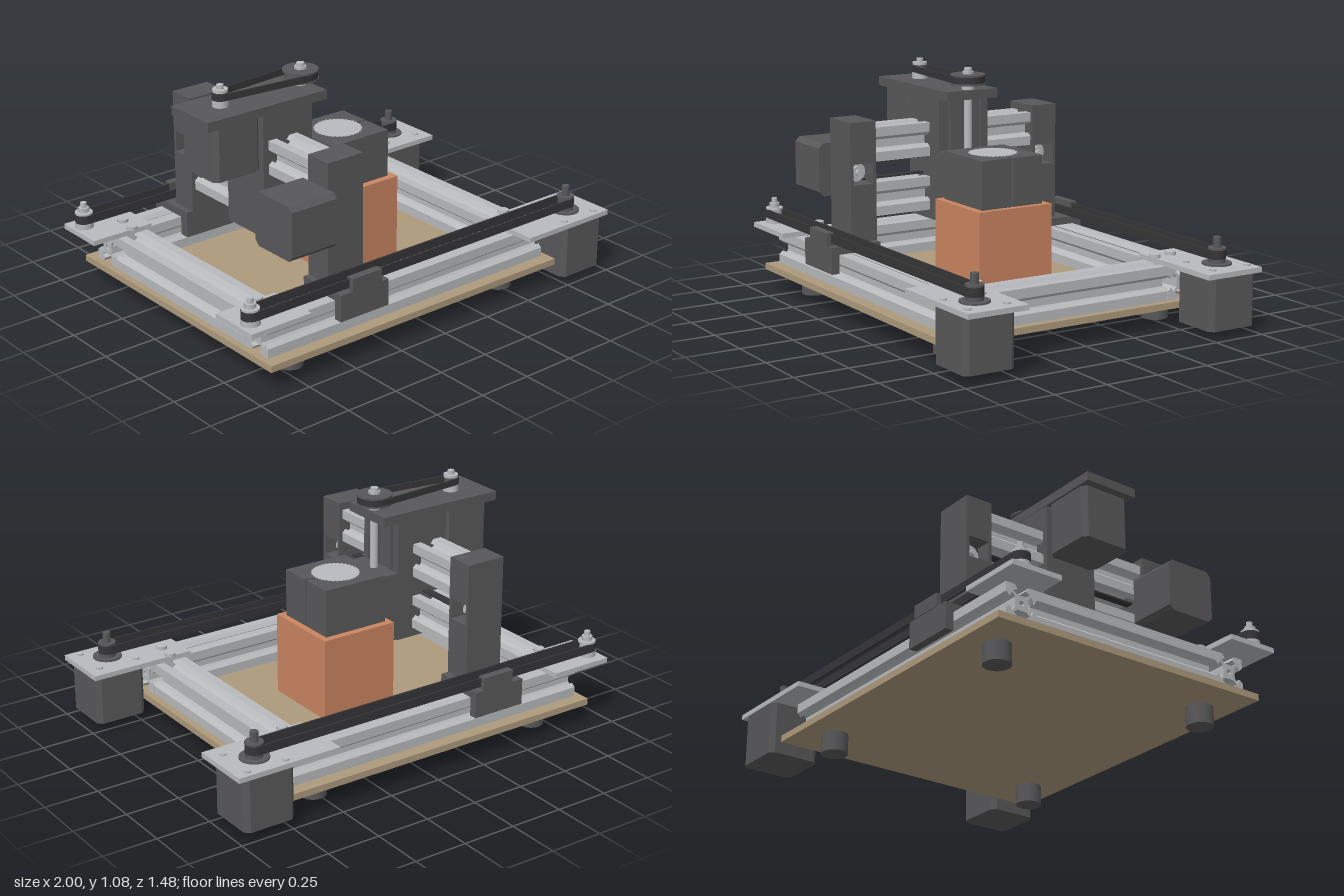
import * as THREE from 'three';

const mat = (name, color, side = THREE.FrontSide) => {
  const m = new THREE.MeshStandardMaterial({ color, side });
  m.name = name;
  return m;
};
const M = {
  alu: mat('aluminium', 0xb8babd),
  dark: mat('darkGrey', 0x58585a),
  belt: mat('beltBlack', 0x363638),
  wood: mat('wood', 0xad9a7c),
  orange: mat('orange', 0xca8460),
};

export function createModel() {
  const root = new THREE.Group();
  root.name = 'cncRouter';

  const add = (name, geo, m, x = 0, y = 0, z = 0) => {
    const mesh = new THREE.Mesh(geo, m);
    mesh.name = name;
    mesh.position.set(x, y, z);
    root.add(mesh);
    return mesh;
  };
  // Box given by its limits on each axis
  const box = (name, m, x0, x1, y0, y1, z0, z1) =>
    add(name, new THREE.BoxGeometry(x1 - x0, y1 - y0, Math.abs(z1 - z0)), m,
      (x0 + x1) / 2, (y0 + y1) / 2, (z0 + z1) / 2);
  // Upright cylinder given by its base and top height
  const post = (name, m, x, z, r, y0, y1, seg = 24) =>
    add(name, new THREE.CylinderGeometry(r, r, y1 - y0, seg), m, x, (y0 + y1) / 2, z);
  // Prism centred on the origin, running along the given axis
  const prism = (shape, length, axis) => {
    const g = new THREE.ExtrudeGeometry(shape, { depth: length, bevelEnabled: false, curveSegments: 12 });
    g.translate(0, 0, -length / 2);
    if (axis === 'x') g.rotateY(Math.PI / 2);
    if (axis === 'y') g.rotateX(-Math.PI / 2);
    return g;
  };
  const polygon = pts => new THREE.Shape(pts.map(p => new THREE.Vector2(p[0], p[1])));

  // Slotted square profile: one side turned four times
  const h = 0.0775;
  const half = [[h, h], [0.035, h], [0.02, h - 0.018], [0.04, h - 0.03], [0.022, h - 0.045]];
  const side = [...half, ...half.slice(1).reverse().map(([x, y]) => [-x, y])];
  const profile = [];
  for (let k = 0; k < 4; k++) {
    const c = Math.round(Math.cos(k * Math.PI / 2)), s = Math.round(Math.sin(k * Math.PI / 2));
    side.forEach(([x, y]) => profile.push([x * c - y * s, x * s + y * c]));
  }
  const railShape = polygon(profile);
  const bore = new THREE.Path();
  bore.absarc(0, 0, 0.012, 0, Math.PI * 2, true);
  railShape.holes.push(bore);
  const rail = (name, axis, length, x, y, z) => add(name, prism(railShape, length, axis), M.alu, x, y, z);

  // Chamfered square motor body
  const motor = (name, axis, length, x, y, z) => {
    const a = 0.122, b = 0.1;
    const s = polygon([[a, -b], [a, b], [b, a], [-b, a], [-a, b], [-a, -b], [-b, -a], [b, -a]]);
    add(name, prism(s, length, axis), M.dark, x, y, z);
  };

  // Belt loop round two pulleys at u = 0 and u = d
  const beltShape = (d, r0, r1) => {
    const trace = (path, t) => {
      const a = Math.acos((r0 - r1) / d);
      path.absarc(d, 0, r1 - t, -a, a, false);
      path.absarc(0, 0, r0 - t, a, Math.PI * 2 - a, false);
      path.closePath();
      return path;
    };
    const s = trace(new THREE.Shape(), 0);
    s.holes.push(trace(new THREE.Path(), 0.008));
    return s;
  };

  // Base board, feet and frame rails
  box('baseBoard', M.wood, -0.9, 0.72, 0.09, 0.12, -0.69, 0.69);
  for (const x of [-0.69, 0.51]) for (const z of [-0.54, 0.54]) post('foot', M.dark, x, z, 0.06, 0, 0.09, 32);
  for (const x of [-0.793, 0.61]) rail('crossRail', 'z', 0.96, x, 0.1975, 0);

  for (const s of [-1, 1]) {
    rail('longRail', 'x', 1.56, -0.09, 0.1975, s * 0.553);

    // Corner plates and their screws
    box('idlerPlate', M.alu, -1, -0.695, 0.277, 0.3, s * 0.453, s * 0.697);
    box('motorPlate', M.alu, 0.508, 1, 0.277, 0.3, s * 0.453, s * 0.74);
    for (const [x, z] of [[-0.782, 0.553], [-0.795, 0.46], [0.6, 0.553], [0.61, 0.46]])
      post('plateScrew', M.alu, x, s * z, 0.025, 0.3, 0.316);
    for (const x of [0.755, 0.94]) for (const z of [0.52, 0.705])
      post('motorScrew', M.alu, x, s * z, 0.016, 0.3, 0.308, 16);

    // Drive motor, toothed pulley, idler and long belt
    motor('driveMotor', 'y', 0.241, 0.848, 0.157, s * 0.615);
    post('motorBoss', M.dark, 0.848, s * 0.615, 0.065, 0.3, 0.308, 32);
    post('pulleyHub', M.dark, 0.848, s * 0.615, 0.038, 0.3, 0.325);
    post('drivePulley', M.dark, 0.848, s * 0.615, 0.034, 0.325, 0.365);
    post('pulleyFlange', M.dark, 0.848, s * 0.615, 0.04, 0.365, 0.374);
    post('motorShaft', M.dark, 0.848, s * 0.615, 0.018, 0.374, 0.42, 16);
    post('idlerBase', M.alu, -0.945, s * 0.615, 0.042, 0.3, 0.325);
    post('idlerPulley', M.alu, -0.945, s * 0.615, 0.032, 0.325, 0.365);
    post('idlerWasher', M.alu, -0.945, s * 0.615, 0.04, 0.365, 0.374);
    post('idlerNut', M.alu, -0.945, s * 0.615, 0.026, 0.374, 0.395, 6);
    post('idlerBolt', M.alu, -0.945, s * 0.615, 0.014, 0.395, 0.418, 16);
    add('longBelt', prism(beltShape(1.793, 0.04, 0.04), 0.04, 'y'), M.belt, -0.945, 0.345, s * 0.615);

    // Saddle riding on the long rail
    box('saddleTop', M.dark, -0.52, -0.26, 0.277, 0.312, s * 0.425, s * 0.672);
    box('saddleOuterCheek', M.dark, -0.52, -0.26, 0.19, 0.277, s * 0.634, s * 0.672);
    box('saddleInnerCheek', M.dark, -0.52, -0.26, 0.19, 0.277, s * 0.425, s * 0.472);
    box('beltClamp', M.dark, -0.46, -0.3, 0.312, 0.372, s * 0.64, s * 0.676);

    // Gantry upright with a window for the pulley
    const up = polygon([[-0.065, 0.312], [0.065, 0.312], [0.065, 0.857], [-0.065, 0.857]]);
    const win = new THREE.Path();
    win.moveTo(-0.05, 0.573).lineTo(-0.05, 0.668).lineTo(0.05, 0.668).lineTo(0.05, 0.573).closePath();
    up.holes.push(win);
    add('gantryUpright', prism(up, 0.19, 'x'), M.dark, -0.395, 0, s * 0.485);
    for (const [r, w] of [[0.044, 0.06], [0.028, 0.09], [0.014, 0.12]]) {
      const g = new THREE.CylinderGeometry(r, r, w, 24);
      g.rotateZ(Math.PI / 2);
      add('gantryPulley', g, M.alu, -0.395, 0.62, s * 0.485);
    }
  }

  // Gantry rails, belt and motor
  for (const y of [0.495, 0.745]) rail('gantryRail', 'z', 0.85, -0.395, y, 0);
  add('gantryBelt', prism(beltShape(0.97, 0.042, 0.042), 0.04, 'x'), M.belt, -0.395, 0.62, 0.485);
  motor('gantryMotor', 'x', 0.235, -0.607, 0.62, 0.487);

  // Vertical carriage with guide ribs, top plate and lift motor
  box('carriage', M.dark, -0.5, -0.25, 0.375, 0.94, -0.13, 0.13);
  for (const s of [-1, 1]) {
    box('guideRib', M.dark, -0.25, -0.235, 0.375, 0.94, s * 0.095, s * 0.13);
    box('guideRib', M.dark, -0.25, -0.235, 0.375, 0.94, s * 0.035, s * 0.07);
  }
  box('topPlate', M.dark, -0.785, -0.155, 0.938, 0.98, -0.132, 0.132);
  motor('liftMotor', 'y', 0.245, -0.625, 0.816, 0);

  // Lead screw, top pulleys and belt
  post('leadScrew', M.alu, -0.195, 0, 0.018, 0.38, 1.078);
  post('leadNut', M.alu, -0.195, 0, 0.03, 0.98, 1.005);
  post('largePulleyLower', M.dark, -0.195, 0, 0.08, 1.003, 1.01, 40);
  post('largePulley', M.dark, -0.195, 0, 0.07, 1.01, 1.042, 40);
  post('largePulleyUpper', M.dark, -0.195, 0, 0.08, 1.042, 1.05, 40);
  post('screwNut', M.alu, -0.195, 0, 0.028, 1.05, 1.063, 6);
  post('smallPulleyBase', M.alu, -0.625, 0, 0.036, 0.98, 1.01);
  post('smallPulley', M.dark, -0.625, 0, 0.03, 1.01, 1.045);
  post('smallPulleyTop', M.alu, -0.625, 0, 0.034, 1.045, 1.058);
  post('liftShaft', M.alu, -0.625, 0, 0.016, 1.058, 1.076, 16);
  add('topBelt', prism(beltShape(0.43, 0.037, 0.077), 0.03, 'y'), M.belt, -0.625, 1.026, 0);

  // Tool slide and clamp, split at the front by a narrow slit
  box('toolSlide', M.dark, -0.235, -0.145, 0.38, 0.7, -0.13, 0.13);
  add('toolClamp', prism(polygon([[-0.145, -0.157], [0.175, -0.157], [0.175, -0.005], [0.11, -0.005],
    [0.11, 0.005], [0.175, 0.005], [0.175, 0.157], [-0.145, 0.157]]), 0.22, 'y'), M.dark, 0, 0.61, 0);

  // Ribbed spindle end
  const teeth = [];
  for (let i = 0; i < 72; i++) {
    const a = i * Math.PI / 36, r = i % 2 ? 0.103 : 0.11;
    teeth.push([r * Math.cos(a), r * Math.sin(a)]);
  }
  add('spindle', prism(polygon(teeth), 0.006, 'y'), M.alu, 0.015, 0.72, 0);

  // Workpiece block on the board
  box('workBlock', M.orange, -0.17, 0.205, 0.12, 0.5, -0.19, 0.19);

  return root;
}
